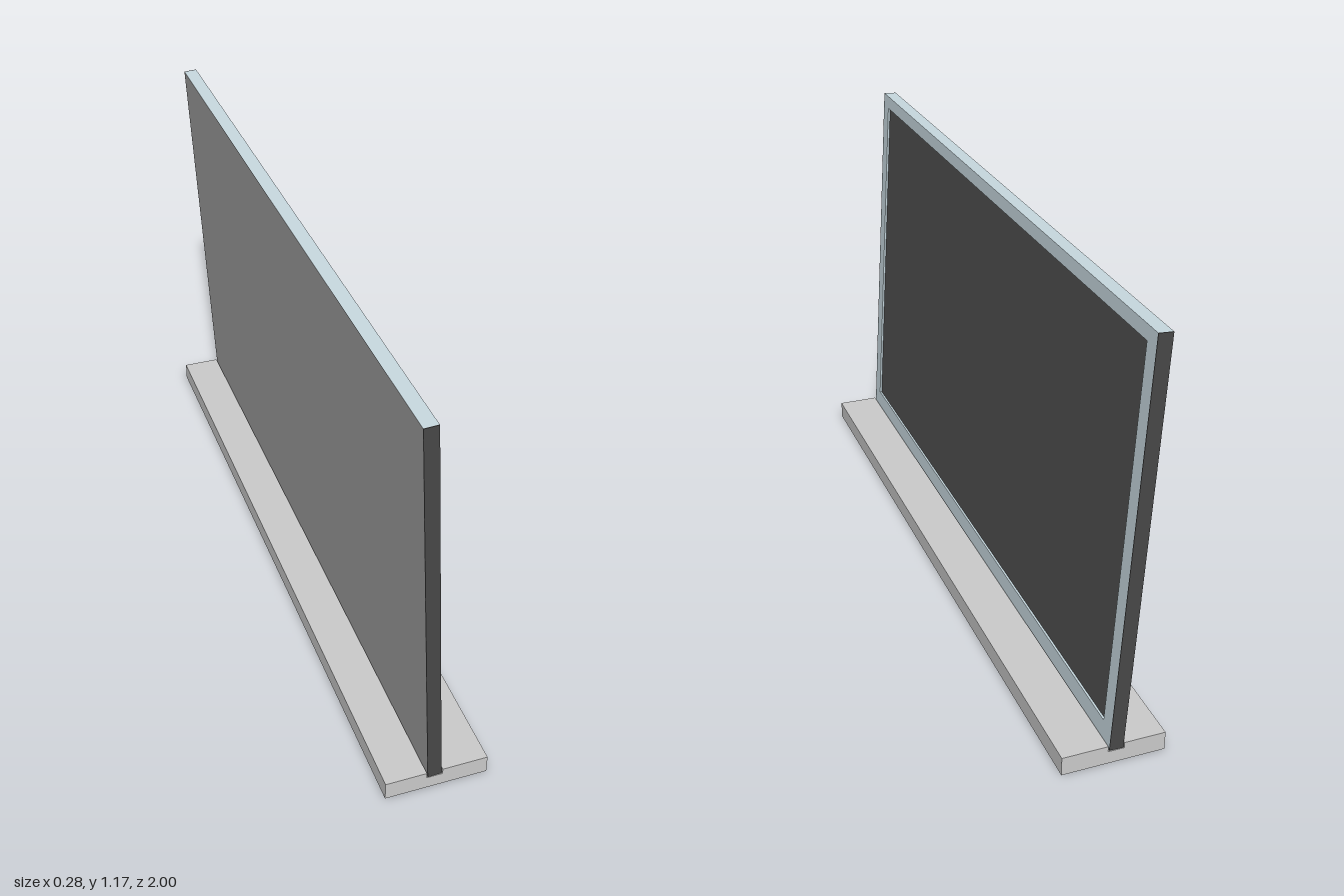
import * as THREE from 'three';

const mat = (color) => new THREE.MeshStandardMaterial({ color });

function add(parent, name, geometry, material, x = 0, y = 0, z = 0) {
  const mesh = new THREE.Mesh(geometry, material);
  mesh.name = name;
  mesh.position.set(x, y, z);
  parent.add(mesh);
  return mesh;
}

export function createModel() {
  const model = new THREE.Group();
  model.name = 'displayOnStand';

  const grey = mat(0xcccccc);
  const trim = mat(0xc8d9e0);
  const dark = mat(0x484848);
  const rear = mat(0xa9a9a9);
  const black = mat(0x505050);

  // Base: long bar with a slot along its top that holds the panel
  const profile = new THREE.Shape([
    [-0.141, 0], [0.141, 0], [0.141, 0.053], [0.016, 0.053], [0.016, 0.037],
    [-0.028, 0.037], [-0.028, 0.053], [-0.141, 0.053],
  ].map(([x, y]) => new THREE.Vector2(x, y)));
  const baseGeo = new THREE.ExtrudeGeometry(profile, { depth: 2, bevelEnabled: false });
  add(model, 'base', baseGeo, grey, 0, 0, -1);

  // Panel leans back slightly; its screen faces +x
  const T = 0.038, H = 1.128, CAP = 0.002, RECESS = 0.008;
  const halfZ = 1 - CAP;
  const panel = new THREE.Group();
  panel.name = 'panel';
  panel.position.set(-0.006, 0.039, 0);
  panel.rotation.z = 0.0575;
  model.add(panel);

  // Housing: light edges, darker rear face
  const bodyT = T - RECESS;
  add(panel, 'housing', new THREE.BoxGeometry(bodyT, H, 2 * halfZ),
    [trim, rear, trim, trim, dark, dark], -RECESS / 2, H / 2, 0);

  // Bezel: frame around the recessed screen
  const rect = (Type, z, y0, y1) => new Type([
    new THREE.Vector2(-z, y0), new THREE.Vector2(z, y0),
    new THREE.Vector2(z, y1), new THREE.Vector2(-z, y1),
  ]);
  const frame = rect(THREE.Shape, halfZ, 0, H);
  frame.holes.push(rect(THREE.Path, 0.953, 0.058, 1.09));
  const bezelGeo = new THREE.ExtrudeGeometry(frame, { depth: RECESS, bevelEnabled: false });
  bezelGeo.rotateY(Math.PI / 2);
  add(panel, 'bezel', bezelGeo, trim, T / 2 - RECESS, 0, 0);

  // Screen: thin sheet on the floor of the recess
  add(panel, 'screen', new THREE.BoxGeometry(0.002, 1.032, 1.906), black,
    T / 2 - RECESS + 0.001, 0.574, 0);

  // Dark strips closing both ends of the panel
  for (const s of [-1, 1]) {
    add(panel, s > 0 ? 'leftEndStrip' : 'rightEndStrip',
      new THREE.BoxGeometry(T, H, CAP), dark, 0, H / 2, s * (1 - CAP / 2));
  }

  return model;
}
